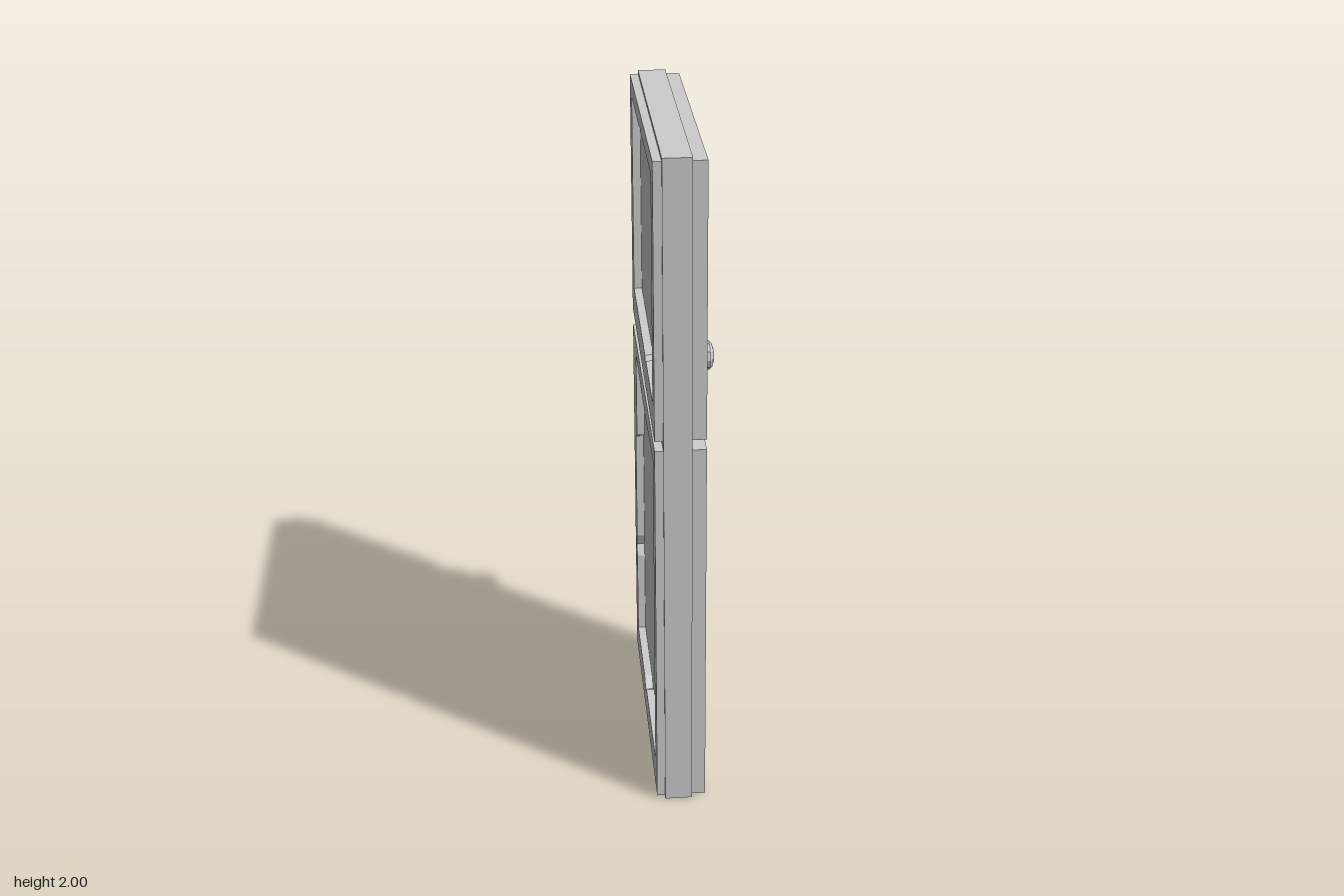
import * as THREE from 'three';

export function createModel() {
  const door = new THREE.Group();
  door.name = 'door';
  const grey = new THREE.MeshStandardMaterial({ color: 0xcccccc, flatShading: true });
  grey.name = 'plain grey';

  const add = (name, geometry, parent = door) => {
    const mesh = new THREE.Mesh(geometry, grey);
    mesh.name = name;
    parent.add(mesh);
    return mesh;
  };

  // Outline points are [z, y]; the outline is extruded along x from x0 to x1
  const toPoints = (list) => list.map(([z, y]) => new THREE.Vector2(-z, y));
  const slab = (outline, x0, x1, hole) => {
    const shape = new THREE.Shape(toPoints(outline));
    if (hole) shape.holes.push(new THREE.Path(toPoints(hole)));
    return new THREE.ExtrudeGeometry(shape, { depth: x1 - x0, bevelEnabled: false })
      .rotateY(Math.PI / 2)
      .translate(x0, 0, 0);
  };

  // Core board
  add('coreBoard', new THREE.BoxGeometry(0.08, 2, 0.82).translate(-0.06, 1, 0));

  // Crooked frames with chipped openings, on both faces
  const upperOuter = [[0.405, 1.195], [-0.405, 1.255], [-0.405, 1.99], [0.405, 1.99]];
  const upperHole = [
    [0.345, 1.285], [0.115, 1.307], [0.1, 1.28], [0.08, 1.31], [-0.34, 1.345],
    [-0.34, 1.94], [-0.06, 1.94], [-0.015, 1.95], [0.0, 1.94], [0.345, 1.94],
  ];
  const lowerOuter = [[0.405, 0.01], [-0.405, 0.05], [-0.405, 1.198], [0.405, 1.165]];
  const lowerHole = [
    [0.345, 0.105], [0.005, 0.12], [-0.03, 0.1], [-0.07, 0.125], [-0.34, 0.137],
    [-0.34, 0.41], [-0.357, 0.445], [-0.34, 0.485], [-0.34, 0.845], [-0.29, 0.872],
    [-0.29, 1.145], [0.0, 1.115], [0.025, 1.12], [0.05, 1.11], [0.345, 1.11],
  ];
  for (const [side, x0, x1] of [['outer', -0.02, 0.02], ['inner', -0.124, -0.1]]) {
    add(side + 'UpperFrame', slab(upperOuter, x0, x1, upperHole));
    add(side + 'LowerFrame', slab(lowerOuter, x0, x1, lowerHole));
  }

  // Lock plate, lock and knob
  const handle = new THREE.Group();
  handle.name = 'handle';
  door.add(handle);
  add('lockPlate', slab([
    [-0.302, 1.17], [-0.302, 0.965], [-0.322, 0.935],
    [-0.376, 0.935], [-0.397, 0.965], [-0.397, 1.17],
  ], 0.02, 0.045), handle);
  add('lock', new THREE.CylinderGeometry(0.03, 0.03, 0.012, 8)
    .rotateZ(-Math.PI / 2).translate(0.05, 1.02, -0.348), handle);
  const profile = [
    [0.03, 0.045], [0.03, 0.066], [0.045, 0.09], [0.045, 0.107],
    [0.038, 0.115], [0.02, 0.121], [0, 0.122],
  ].map(([r, h]) => new THREE.Vector2(r, h));
  add('knob', new THREE.LatheGeometry(profile, 10)
    .rotateZ(-Math.PI / 2).translate(0, 1.11, -0.349), handle);

  return door;
}
